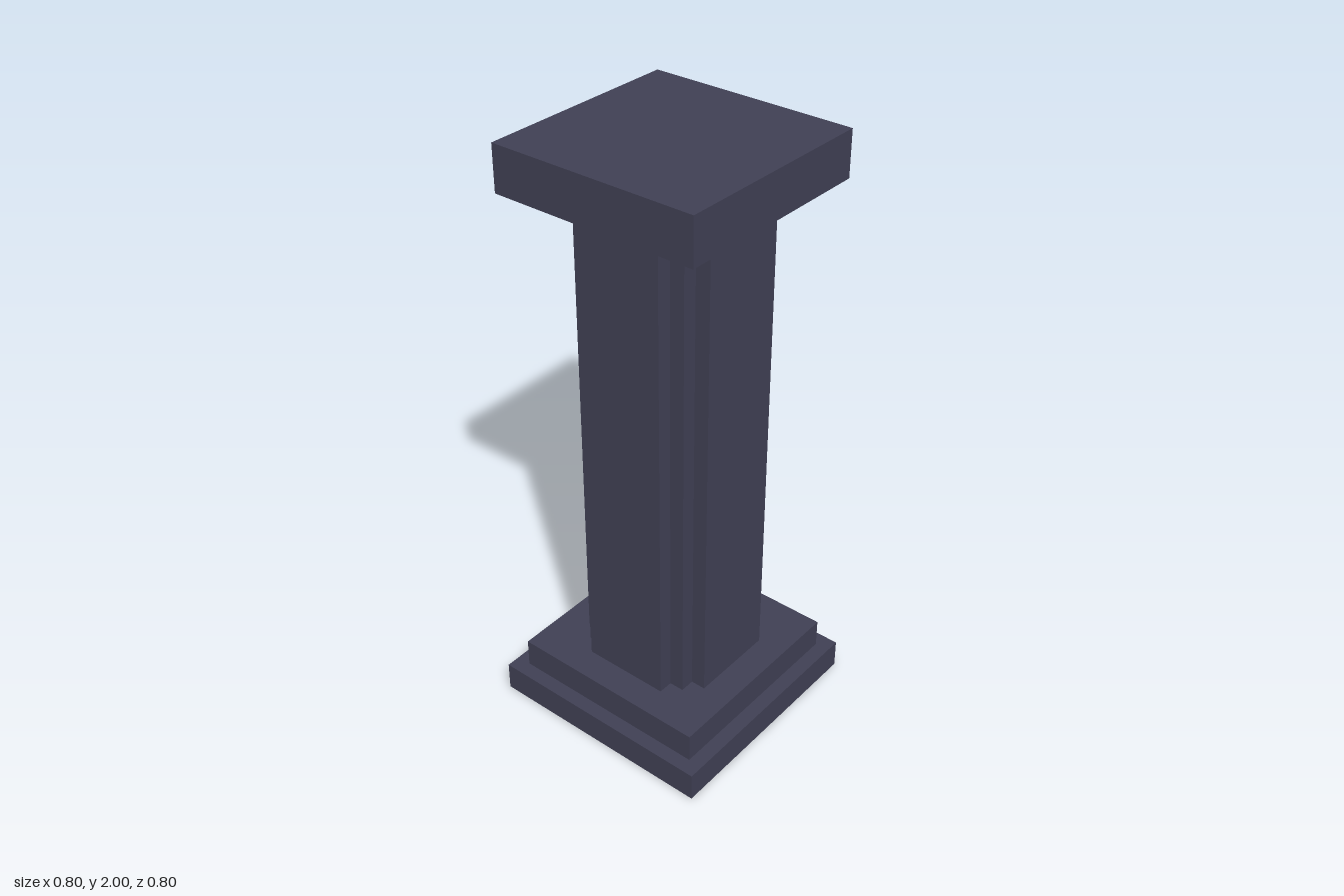
import * as THREE from 'three';

export function createModel() {
  const group = new THREE.Group();
  const stone = new THREE.MeshStandardMaterial({ color: 0x404054 });
  stone.name = 'dark slate';

  const add = (name, geometry) => {
    const mesh = new THREE.Mesh(geometry, stone);
    mesh.name = name;
    group.add(mesh);
  };
  const shapeFrom = (points) => new THREE.Shape(points.map(([x, y]) => new THREE.Vector2(x, y)));
  const slab = (name, width, bottom, top) =>
    add(name, new THREE.BoxGeometry(width, top - bottom, width).translate(0, (bottom + top) / 2, 0));

  // Plinth: main slab plus a thin back strip with a small notch in its upper edge
  add('plinth', new THREE.BoxGeometry(0.8, 0.1, 0.75).translate(0, 0.05, 0.025));
  const notched = shapeFrom([
    [-0.4, 0], [0.4, 0], [0.4, 0.1], [-0.2, 0.1],
    [-0.2, 0.05], [-0.3, 0.05], [-0.3, 0.1], [-0.4, 0.1],
  ]);
  add('plinthNotchedEdge',
    new THREE.ExtrudeGeometry(notched, { depth: 0.05, bevelEnabled: false }).translate(0, 0, -0.4));

  // Upper step and capital
  slab('baseStep', 0.7, 0.1, 0.2);
  slab('capital', 0.7, 1.85, 2);

  // Shaft: square with doubly stepped corners, one corner rotated to all four
  const corner = [[0.25, -0.15], [0.25, 0.15], [0.2, 0.15], [0.2, 0.2], [0.15, 0.2]];
  const outline = [];
  for (let i = 0; i < 4; i++) {
    for (const [x, y] of corner) {
      outline.push([[x, y], [-y, x], [-x, -y], [y, -x]][i]);
    }
  }
  add('shaft',
    new THREE.ExtrudeGeometry(shapeFrom(outline), { depth: 1.65, bevelEnabled: false })
      .rotateX(-Math.PI / 2).translate(0, 0.2, 0));

  return group;
}
